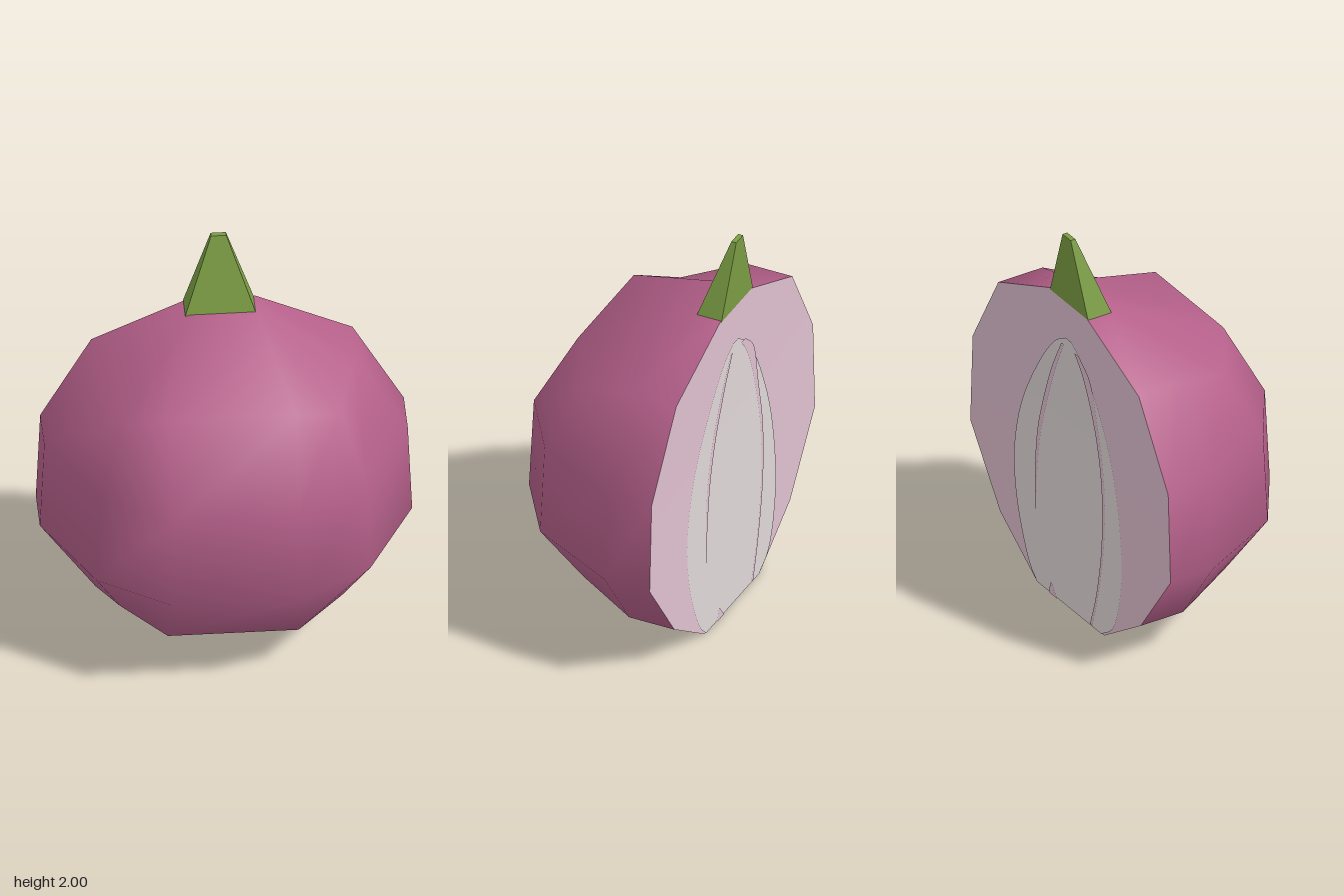
import * as THREE from 'three';
import { mergeVertices } from 'three/addons/utils/BufferGeometryUtils.js';

// Surface through rows of points; rows run upward, points run rightward as seen from outside
function grid(rows) {
  const n = rows[0].length, index = [];
  for (let r = 0; r < rows.length - 1; r++) {
    for (let c = 0; c < n - 1; c++) {
      const a = r * n + c, b = a + 1, e = a + n, d = e + 1;
      index.push(a, b, d, a, d, e);
    }
  }
  let geo = new THREE.BufferGeometry();
  geo.setAttribute('position', new THREE.Float32BufferAttribute(rows.flat(2), 3));
  geo.setIndex(index);
  geo = mergeVertices(geo, 1e-4);
  geo.computeVertexNormals();
  return geo;
}

// The cut plane leans slightly backward near the top
const cutZ = (y) => -0.43 - 0.025 * Math.max(0, y - 1.03);

// Strip lying on the cut plane, from rows [y, xMin, xMax]
function cutStrip(rows, lift, smooth) {
  let pts = rows.map(([y, a, b]) => new THREE.Vector3(a, y, b));
  if (smooth) pts = new THREE.CatmullRomCurve3(pts).getPoints(rows.length * 4);
  return grid(pts.map((p) => {
    const z = cutZ(p.y) - lift;
    return [[p.z, p.y, z], [p.x, p.y, z]];
  }));
}

export function createModel() {
  const group = new THREE.Group();
  const mat = (name, color) => {
    const m = new THREE.MeshStandardMaterial({ color });
    m.name = name;
    return m;
  };
  const skinMat = mat('purple skin', 0xb5608a);
  const fleshMat = mat('pink flesh', 0xe0c0d0);
  const paleMat = mat('pale flesh', 0xe0d7d8);
  const stemMat = mat('green stem', 0x7a9c43);
  const add = (name, geo, material) => {
    const mesh = new THREE.Mesh(geo, material);
    mesh.name = name;
    group.add(mesh);
    return mesh;
  };

  // Half bulb: each row holds its side, corner and front points, mirrored across x
  const halfRows = [
    [[0, 0, -0.2], [0, 0, -0.2], [0, 0, -0.2]],
    [[0.29, 0, -0.2], [0.29, 0, -0.2], [0.29, 0, -0.2]],
    [[0.6, 0.21, -0.2], [0.51, 0.3, 0.08], [0.3, 0.215, 0.215]],
    [[0.855, 0.57, -0.2], [0.63, 0.57, 0.24], [0.3, 0.57, 0.46]],
    [[0.835, 1.03, -0.2], [0.615, 1.03, 0.225], [0.29, 1.03, 0.44]],
    [[0.6, 1.44, -0.2], [0.5, 1.34, 0.08], [0.29, 1.44, 0.215]],
    [[0.155, 1.64, -0.32], [0.155, 1.64, -0.32], [0.155, 1.64, -0.32]],
    [[0, 1.64, -0.32], [0, 1.64, -0.32], [0, 1.64, -0.32]],
  ];
  const skinRows = halfRows.map(([side, corner, front]) => {
    const half = [[side[0], side[1], cutZ(side[1])], side, corner, front];
    return [...half.map(([x, y, z]) => [-x, y, z]), ...half.reverse()];
  });
  add('bulbSkin', grid(skinRows), skinMat);

  // Flat cut face closing the back
  const faceRows = halfRows.slice(1, 7).map(([side]) => [side[1], -side[0], side[0]]);
  add('cutFace', cutStrip(faceRows, 0, false), fleshMat);

  // Pale heart with pink layer lines on the cut face
  add('paleHeart', cutStrip([
    [0, -0.27, 0.28], [0.08, -0.37, 0.35], [0.35, -0.44, 0.45], [0.61, -0.43, 0.474],
    [0.9, -0.37, 0.41], [1.2, -0.24, 0.25], [1.38, -0.11, 0.11], [1.44, -0.03, 0.02],
  ], 0.004, true), paleMat);
  const lines = {
    rightLayerLine: [
      [0.01, -0.2, -0.18], [0.2, -0.25, -0.235], [0.5, -0.3, -0.28], [0.81, -0.3, -0.275],
      [1.1, -0.245, -0.21], [1.31, -0.19, -0.125], [1.4, -0.1, -0.06],
    ],
    leftLayerLine: [
      [0.39, 0.283, 0.287], [0.6, 0.272, 0.29], [0.86, 0.232, 0.262],
      [1.2, 0.12, 0.15], [1.4, 0.03, 0.05],
    ],
    lowerLayerLine: [[0, 0.1, 0.17], [0.03, 0.125, 0.165], [0.06, 0.145, 0.155]],
  };
  for (const [name, rows] of Object.entries(lines)) add(name, cutStrip(rows, 0.008, true), fleshMat);

  // Tapered four-sided stem
  const stem = new THREE.BoxGeometry(1, 1, 1);
  const p = stem.attributes.position;
  for (let i = 0; i < p.count; i++) {
    const top = p.getY(i) > 0, front = p.getZ(i) > 0;
    const x = -0.015 + p.getX(i) * (top ? 0.07 : 0.325);
    const z = top ? (front ? -0.435 : -0.46) : (front ? -0.32 : -0.447);
    p.setXYZ(i, x, top ? 2 : 1.635, z);
  }
  stem.computeVertexNormals();
  add('stem', stem, stemMat);

  return group;
}
